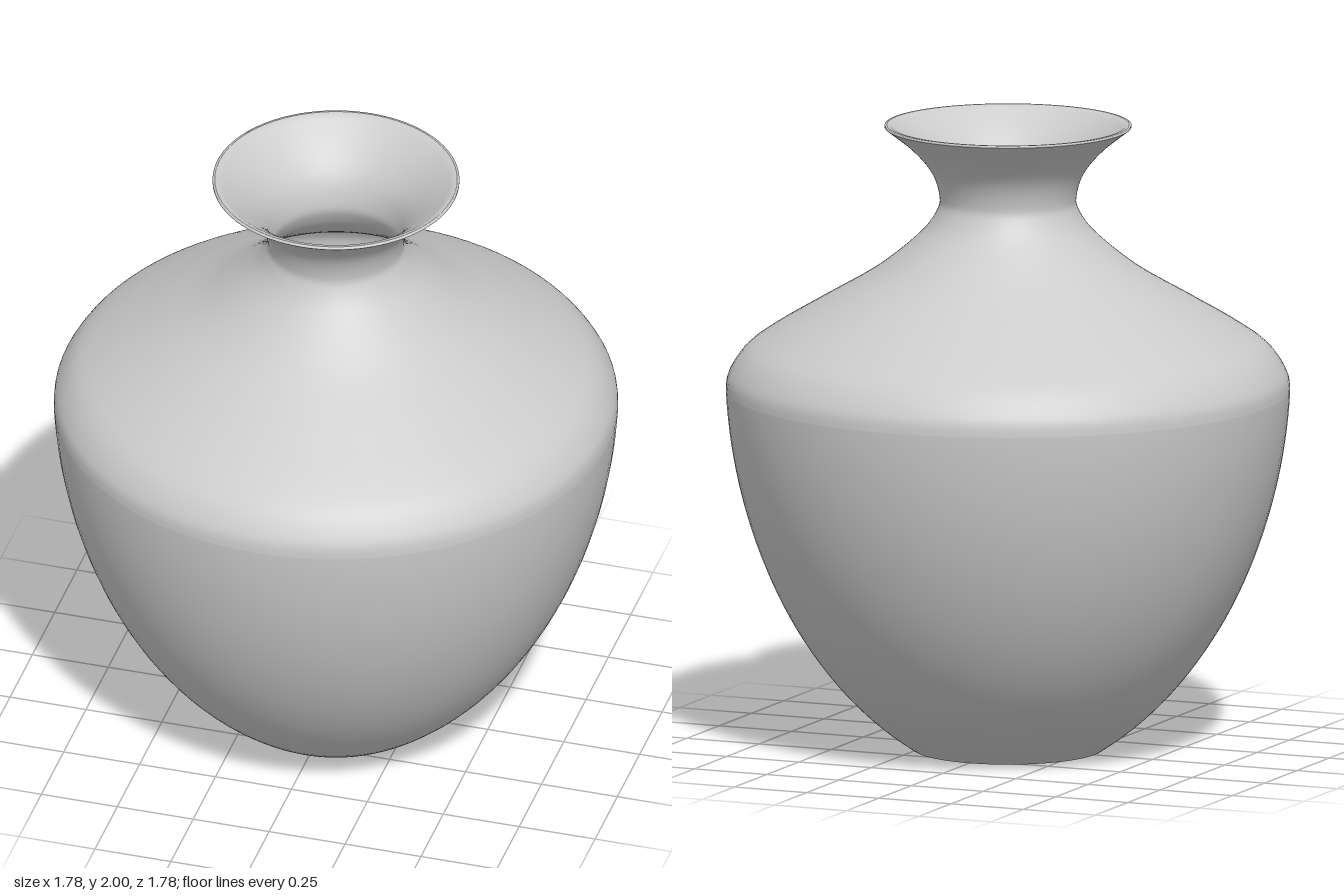
import * as THREE from 'three';

const SEGMENTS = 96;
const WALL = 0.016;
const v = (x, y) => new THREE.Vector2(x, y);

export function createModel() {
  const vase = new THREE.Group();
  vase.name = 'vase';
  const material = new THREE.MeshStandardMaterial({ color: 0xcccccc });
  const addLathe = (name, points) => {
    const mesh = new THREE.Mesh(new THREE.LatheGeometry(points, SEGMENTS), material);
    mesh.name = name;
    vase.add(mesh);
  };

  // Outer profile: rounded belly, then shoulder, narrow neck and flared lip
  const belly = new THREE.CubicBezierCurve(v(0.3, 0), v(0.68, 0.24), v(0.87, 0.72), v(0.892, 1.15));
  const shoulder = new THREE.SplineCurve([
    v(0.892, 1.15), v(0.882, 1.205), v(0.83, 1.28), v(0.74, 1.345), v(0.6, 1.428), v(0.42, 1.535),
    v(0.28, 1.65), v(0.225, 1.725), v(0.217, 1.775), v(0.242, 1.85), v(0.305, 1.925), v(0.39, 1.993),
  ]);
  const outer = [...belly.getPoints(32), ...shoulder.getPoints(66).slice(1)];

  // Inner profile: the outer one moved inward along its normal
  const inner = outer.map((p, i) => {
    const a = outer[Math.max(i - 1, 0)];
    const b = outer[Math.min(i + 1, outer.length - 1)];
    const t = b.clone().sub(a).normalize();
    return v(p.x - t.y * WALL, p.y + t.x * WALL);
  });
  inner[inner.length - 1].set(0.383, 2);
  const floorEdge = inner[0];

  addLathe('outerWall', outer);
  addLathe('innerWall', [...inner].reverse());
  addLathe('rim', [outer.at(-1), v(0.39, 2), inner.at(-1)]);
  addLathe('base', [v(0, 0), v(0.3, 0)]);
  addLathe('innerFloor', [floorEdge, v(0, floorEdge.y)]);

  return vase;
}
